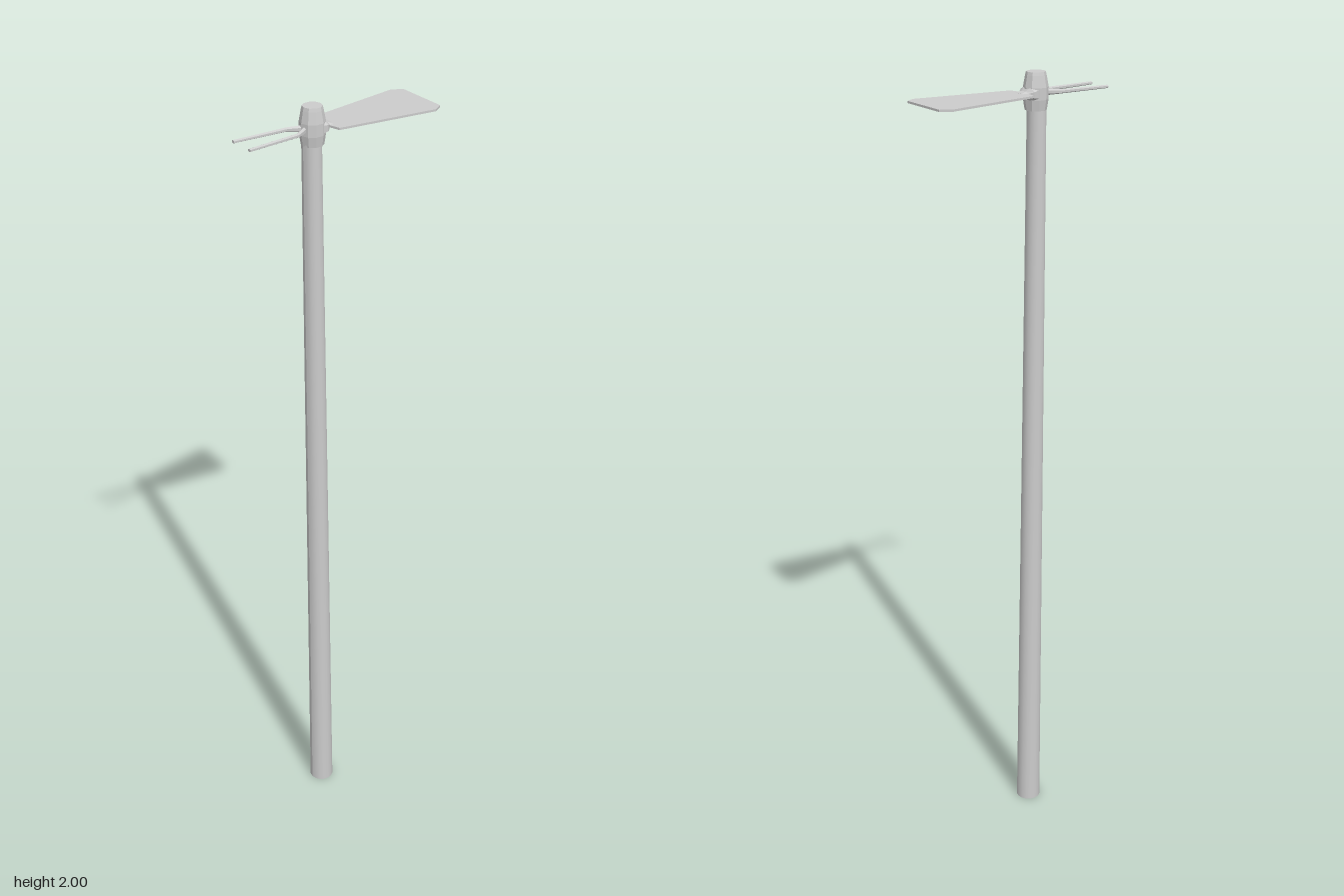
import * as THREE from 'three';

const AXIS_X = -0.002, AXIS_Z = 0.058, HEAD_Y = 1.951;

// Tube of elliptical sections [x, z, halfWidth, halfHeight], listed by rising z
function loft(sections, sides) {
  const pos = [], idx = [];
  for (const [x, z, w, h] of sections) {
    for (let j = 0; j < sides; j++) {
      const a = ((j + 0.5) / sides) * Math.PI * 2;
      pos.push(x + Math.cos(a) * w, Math.sin(a) * h, z);
    }
  }
  const last = (sections.length - 1) * sides;
  for (let i = 0; i < last; i += sides) {
    for (let j = 0; j < sides; j++) {
      const a = i + j, b = i + ((j + 1) % sides);
      idx.push(a, b, b + sides, a, b + sides, a + sides);
    }
  }
  for (let j = 1; j < sides - 1; j++) {
    idx.push(0, j + 1, j, last, last + j, last + j + 1);
  }
  const g = new THREE.BufferGeometry();
  g.setAttribute('position', new THREE.Float32BufferAttribute(pos, 3));
  g.setIndex(idx);
  g.computeVertexNormals();
  return g;
}

export function createModel() {
  const group = new THREE.Group();
  const smooth = new THREE.MeshStandardMaterial({ color: 0xcccccc });
  const faceted = new THREE.MeshStandardMaterial({ color: 0xcccccc, flatShading: true });
  const add = (name, geometry, material, x = 0, y = 0, z = 0) => {
    const mesh = new THREE.Mesh(geometry, material);
    mesh.name = name;
    mesh.position.set(x, y, z);
    group.add(mesh);
  };

  // Long handle, tapering upward and leaning slightly forward
  const handle = new THREE.CylinderGeometry(0.023, 0.032, 1.98, 16, 1);
  handle.translate(0, 0.99, 0);
  const p = handle.attributes.position;
  for (let i = 0; i < p.count; i++) {
    p.setZ(i, p.getZ(i) + 0.045 + (p.getY(i) / 1.98) * 0.016);
  }
  handle.computeVertexNormals();
  add('handle', handle, smooth, AXIS_X);

  // Faceted socket around the handle top
  const profile = [[0, 1.912], [0.026, 1.912], [0.030, 1.937], [0.030, 1.965],
    [0.025, 1.992], [0.023, 2], [0, 2]].map(([r, y]) => new THREE.Vector2(r, y));
  add('socket', new THREE.LatheGeometry(profile, 10), faceted, AXIS_X, 0, AXIS_Z);

  // Neck flaring from the socket into the blade
  add('bladeNeck', loft([[0, 0.01, 0.026, 0.003], [0, 0.024, 0.02, 0.007],
    [0, 0.034, 0.03, 0.018], [0, 0.052, 0.029, 0.026]], 8), faceted, AXIS_X, HEAD_Y);

  // Flat hoe blade with clipped rear corners
  const outline = [[-0.018, 0.026], [-0.047, 0.02], [-0.082, -0.225], [-0.066, -0.25],
    [0.066, -0.249], [0.08, -0.225], [0.044, 0.018], [0.016, 0.026]];
  const shape = new THREE.Shape(outline.map(([x, z]) => new THREE.Vector2(x, z)));
  const blade = new THREE.ExtrudeGeometry(shape, { depth: 0.005, bevelEnabled: false });
  blade.rotateX(Math.PI / 2);
  add('blade', blade, faceted, 0, HEAD_Y + 0.0025);

  // Two fork prongs, splayed from the front of the socket
  for (const [side, name] of [[1, 'leftProng'], [-1, 'rightProng']]) {
    const path = [[0, 0.074, 0.006, 0.009], [0.011, 0.093, 0.0065, 0.007],
      [0.022, 0.113, 0.0055, 0.005], [0.031, 0.246, 0.005, 0.004]];
    add(name, loft(path.map(([x, ...rest]) => [x * side, ...rest]), 6),
      faceted, -0.001, HEAD_Y);
  }
  return group;
}
